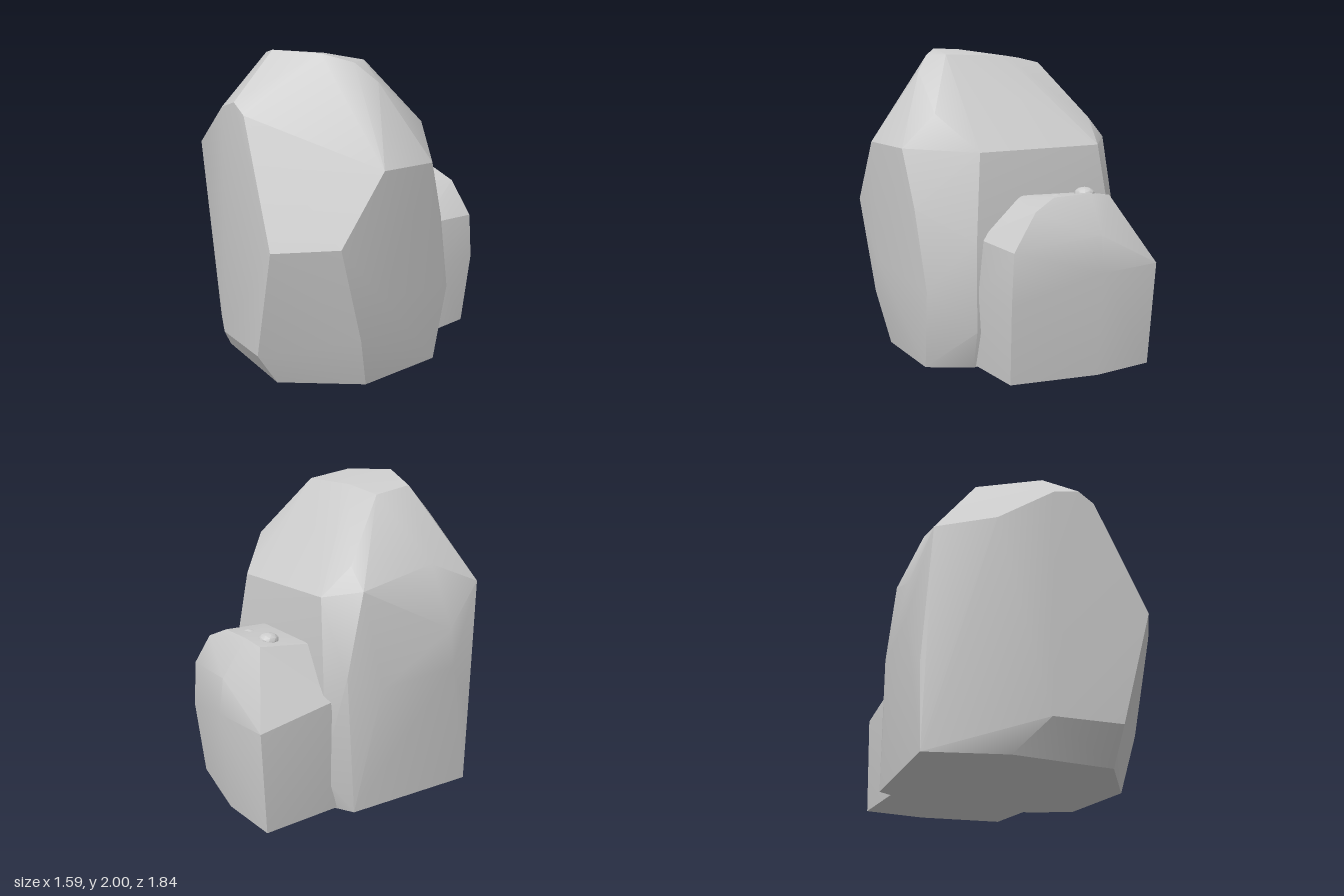
import * as THREE from 'three';
import { ConvexGeometry } from 'three/addons/geometries/ConvexGeometry.js';
import { toCreasedNormals } from 'three/addons/utils/BufferGeometryUtils.js';

const material = new THREE.MeshStandardMaterial({ color: 0xcccccc });

// A chiselled stone: the hull of its corner points, softened across shallow edges
function stone(name, corners) {
  const points = corners.map((c) => new THREE.Vector3(...c));
  const mesh = new THREE.Mesh(toCreasedNormals(new ConvexGeometry(points), 0.5), material);
  mesh.name = name;
  return mesh;
}

export function createModel() {
  const group = new THREE.Group();
  group.name = 'rocks';

  group.add(stone('largeRock', [
    // base
    [-0.75, 0, 0.6], [-0.3, 0, 0.76], [0.33, 0, 0.77], [0.67, 0, 0.34],
    [0.66, 0, -0.22], [0.4, 0, -0.37], [-0.5, 0, -0.38], [-0.68, 0, -0.28],
    // front face
    [-0.12, 0.2, 0.89], [0.33, 0.22, 0.9], [0.55, 0.95, 0.92],
    [0.23, 1.67, 0.88], [0.12, 1.73, 0.88], [-0.05, 1.68, 0.87], [-0.42, 1.4, 0.84],
    // left and right walls
    [-0.74, 1.36, 0.64], [-0.77, 0.5, 0.59], [-0.8, 0.85, 0.4], [-0.79, 1.1, 0.38],
    [0.78, 0.97, 0.6], [0.74, 0.35, 0.43], [0.79, 1.38, 0.31], [0.77, 0.6, 0.3],
    [0.74, 1.36, -0.09], [0.71, 1.0, -0.2], [0.68, 0.5, -0.3],
    // back wall
    [0.42, 0.25, -0.46], [0.42, 0.8, -0.46], [0.36, 1.34, -0.39],
    [-0.56, 0.25, -0.44], [-0.58, 0.85, -0.44], [-0.5, 1.36, -0.4],
    [-0.74, 0.8, -0.12], [-0.68, 0.9, -0.34], [-0.67, 1.4, -0.22], [-0.55, 1.53, -0.22],
    // shoulders and crown
    [0.55, 1.57, -0.16], [-0.68, 1.5, 0.3], [0.52, 1.83, 0.15],
    [-0.36, 1.94, 0.38], [-0.36, 1.9, 0.12], [0.04, 2, 0.57], [0.3, 1.99, 0.4],
    [0.42, 1.94, 0.25], [0.34, 1.94, 0.12], [-0.1, 1.94, 0.11],
  ]));

  group.add(stone('smallRock', [
    // base
    [-0.58, 0.01, -0.3], [-0.58, 0.01, -0.85], [-0.18, 0.01, -0.87],
    [0.36, 0.01, -0.76], [0.39, 0.01, -0.3],
    // walls
    [-0.62, 0.4, -0.6], [-0.6, 0.66, -0.89], [-0.61, 0.75, -0.35], [-0.18, 0.65, -0.92],
    [-0.18, 0.87, -0.89], [0.38, 0.5, -0.81], [0.36, 0.8, -0.8], [0.41, 0.5, -0.47], [0.38, 0.82, -0.35],
    // top
    [-0.35, 1.08, -0.73], [-0.2, 1.1, -0.74], [0.05, 1.09, -0.73],
    [0.2, 1.02, -0.77], [0.1, 1.06, -0.35], [-0.41, 1.05, -0.35],
  ]));

  // Small pebbles half sunk in the top of the small rock
  for (const [x, y, z, r] of [[-0.25, 1.08, -0.61, 0.065], [-0.04, 1.06, -0.62, 0.05]]) {
    const geometry = toCreasedNormals(new THREE.IcosahedronGeometry(r, 1), 0.5);
    const pebble = new THREE.Mesh(geometry, material);
    pebble.name = 'pebble';
    pebble.position.set(x, y, z);
    pebble.scale.y = 0.65;
    group.add(pebble);
  }
  return group;
}
